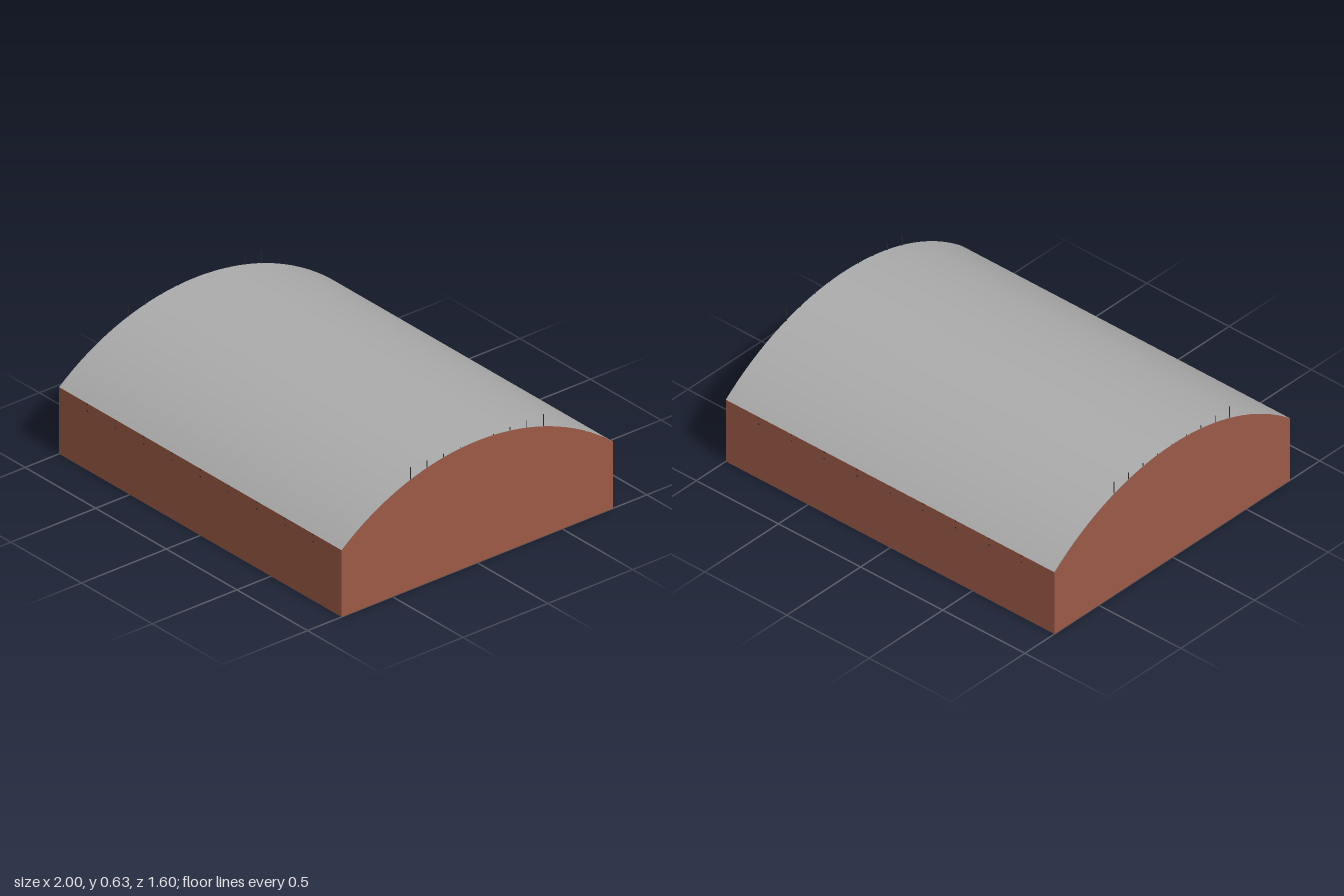
import * as THREE from 'three';
import { mergeGeometries } from 'three/addons/utils/BufferGeometryUtils.js';

const HALF_X = 1, HALF_Z = 0.8, EAVE = 0.345, RIDGE = 0.63, SLAB = 0.3;
const R = (HALF_Z ** 2 + (RIDGE - EAVE) ** 2) / (2 * (RIDGE - EAVE));
const CY = RIDGE - R;
const SWEEP = Math.asin(HALF_Z / R);
const RINK = { a: 0.6, b: 0.3, r: 0.15 };

const mat = (name, color, side = THREE.FrontSide) => {
  const m = new THREE.MeshStandardMaterial({ color, side });
  m.name = name;
  return m;
};

// Rounded rectangle that follows the rink edge at a given offset
function rinkPath(offset, Type = THREE.Shape) {
  const a = RINK.a + offset, b = RINK.b + offset, r = RINK.r + offset;
  const p = new Type();
  p.absarc(a - r, b - r, r, 0, Math.PI / 2);
  p.absarc(-a + r, b - r, r, Math.PI / 2, Math.PI);
  p.absarc(-a + r, -b + r, r, Math.PI, Math.PI * 1.5);
  p.absarc(a - r, -b + r, r, Math.PI * 1.5, Math.PI * 2);
  p.closePath();
  return p;
}

// Horizontal plate standing on height y
function plate(shape, y, height) {
  const g = new THREE.ExtrudeGeometry(shape, { depth: height, bevelEnabled: false, curveSegments: 10 });
  return g.rotateX(-Math.PI / 2).translate(0, y, 0);
}

function ring(inner, outer, y, height) {
  const s = rinkPath(outer);
  s.holes.push(rinkPath(inner, THREE.Path));
  return plate(s, y, height);
}

// Straight square bar between two points
function bar(p, q, radius) {
  const a = new THREE.Vector3(...p), b = new THREE.Vector3(...q);
  const d = b.clone().sub(a);
  const g = new THREE.CylinderGeometry(radius, radius, d.length(), 4);
  g.applyQuaternion(new THREE.Quaternion().setFromUnitVectors(new THREE.Vector3(0, 1, 0), d.normalize()));
  const c = a.add(b).multiplyScalar(0.5);
  return g.translate(c.x, c.y, c.z);
}

const box = (w, h, d, x, y, z) => new THREE.BoxGeometry(w, h, d).translate(x, y, z);

// One row of seats; gaps line up radially from row to row
function seatRow(offset, y, height) {
  const cx = RINK.a - RINK.r, cz = RINK.b - RINK.r, r = RINK.r + offset;
  const seats = [];
  const seat = (x, z, turn) => seats.push(
    new THREE.BoxGeometry(0.023, height, 0.006).rotateY(turn).translate(x, y + height / 2, z));
  for (const s of [1, -1]) {
    for (let i = 0; i < 30; i++) seat(-cx + (i + 0.5) * 0.03, s * (cz + r), 0);
    for (let i = 0; i < 10; i++) seat(s * (cx + r), -cz + (i + 0.5) * 0.03, Math.PI / 2);
    for (const t of [1, -1]) {
      for (let i = 0; i < 11; i++) {
        const angle = (i + 0.5) / 11 * Math.PI / 2;
        const dx = s * Math.cos(angle), dz = t * Math.sin(angle);
        seat(s * cx + r * dx, t * cz + r * dz, Math.atan2(dx, dz));
      }
    }
  }
  return mergeGeometries(seats);
}

export function createModel() {
  const brick = mat('brick', 0x9c5a47);
  const metal = mat('roof grey', 0xacacac, THREE.DoubleSide);
  const concrete = mat('blue grey concrete', 0x4b5258);
  const seating = mat('dark grey seating', 0x424446);
  const steel = mat('dark steel', 0x2c2e30);
  const white = mat('white', 0xe8eaea);

  const model = new THREE.Group();
  const add = (name, geometry, material) => {
    const mesh = new THREE.Mesh(geometry, material);
    mesh.name = name;
    model.add(mesh);
    return mesh;
  };

  // Barrel roof
  const roof = new THREE.CylinderGeometry(R, R, 2 * HALF_X, 32, 1, true, Math.PI / 2 - SWEEP, 2 * SWEEP);
  add('roof', roof.rotateZ(Math.PI / 2).translate(0, CY, 0), metal);

  // Side walls and curved gable walls
  const gable = new THREE.Shape();
  gable.moveTo(-HALF_Z, 0);
  gable.lineTo(HALF_Z, 0);
  gable.absarc(0, CY, R - 0.0015, Math.PI / 2 - SWEEP, Math.PI / 2 + SWEEP, false);
  gable.closePath();
  for (const s of [1, -1]) {
    add(s > 0 ? 'frontWall' : 'backWall',
      box(2 * HALF_X, EAVE, 0.004, 0, EAVE / 2, s * (HALF_Z - 0.002)), brick);
    const g = new THREE.ExtrudeGeometry(gable, { depth: 0.004, bevelEnabled: false, curveSegments: 32 });
    g.rotateY(Math.PI / 2).translate(s * (HALF_X - 0.002) - 0.002, 0, 0);
    add(s > 0 ? 'leftGable' : 'rightGable', g, brick);

    // Thin posts along the gable that rise to ridge height
    const posts = [];
    for (let i = -4; i <= 4; i++) {
      posts.push(box(0.003, RIDGE - EAVE, 0.003, s * (HALF_X - 0.0025), (RIDGE + EAVE) / 2, i * 0.098));
    }
    add('gablePosts', mergeGeometries(posts), steel);
  }

  // Roof trusses: two curved chords, zigzag web and paired columns
  const chord = (radius) => new THREE.TorusGeometry(radius, 0.005, 4, 28, 2 * SWEEP)
    .rotateZ(Math.PI / 2 - SWEEP).rotateY(Math.PI / 2).translate(0, CY, 0);
  const onArc = (radius, t) => [0, CY + radius * Math.cos(t), radius * Math.sin(t)];
  const upper = R - 0.007, lower = R - 0.045, panels = 40;
  const parts = [chord(upper), chord(lower)];
  for (let i = 0; i < panels; i++) {
    const t = (k) => (k / panels * 2 - 1) * SWEEP * 0.98;
    const [r0, r1] = i % 2 ? [upper, lower] : [lower, upper];
    parts.push(bar(onArc(r0, t(i)), onArc(r1, t(i + 1)), 0.0025));
  }
  for (const s of [1, -1]) {
    for (const z of [0.793, 0.755]) parts.push(box(0.005, EAVE - 0.02, 0.005, 0, (EAVE - 0.02) / 2, s * z));
    // Chord ends showing through the wall
    for (const y of [0.305, 0.341]) parts.push(box(0.008, 0.006, 0.012, 0, y, s * 0.7945));
  }
  const truss = mergeGeometries(parts);
  for (let i = -4; i <= 4; i++) add('roofTruss', truss, steel).position.x = i * 0.2;

  // Bowl wall and the concourse slab around it
  add('bowlWall', ring(0.355, 0.36, 0, SLAB + 0.02), concrete);
  const slab = new THREE.Shape();
  slab.moveTo(-0.99, -0.79);
  slab.lineTo(0.99, -0.79);
  slab.lineTo(0.99, 0.79);
  slab.lineTo(-0.99, 0.79);
  slab.closePath();
  slab.holes.push(rinkPath(0.358, THREE.Path));
  add('concourse', plate(slab, SLAB, 0.008), concrete);

  // Stepped rows, each a tread with seats along its outer edge
  const rows = 14, depth = 0.35 / rows, rise = (SLAB - 0.03) / rows;
  for (let i = 0; i < rows; i++) {
    const y = 0.02 + i * rise, inner = 0.005 + i * depth;
    add('seatingTread', ring(inner, inner + depth, y, 0.006), seating);
    add('seats', seatRow(inner + depth - 0.004, y + 0.006, rise - 0.006), seating);
  }

  // Rink boards and a puck in the centre
  add('rinkBoards', ring(0, 0.005, 0.012, 0.016), brick);
  add('puck', new THREE.CylinderGeometry(0.006, 0.006, 0.006, 12).translate(0, 0.016, 0), steel);

  // Rectangular catwalk hung from the trusses
  const walk = [];
  for (const s of [1, -1]) {
    walk.push(box(0.92, 0.016, 0.02, 0, 0.38, s * 0.39));
    walk.push(box(0.02, 0.016, 0.8, s * 0.45, 0.38, 0));
    for (const x of [-0.4, 0, 0.4]) walk.push(bar([x, 0.38, s * 0.39], [x, 0.56, s * 0.39], 0.002));
  }
  add('catwalk', mergeGeometries(walk), steel);

  // Rows of banners under the end trusses
  for (const s of [1, -1]) {
    const banners = [];
    for (let i = -7; i <= 7; i++) banners.push(box(0.004, 0.095, 0.055, s * 0.8, 0.375, i * 0.076));
    add('banners', mergeGeometries(banners), white);
  }
  return model;
}
